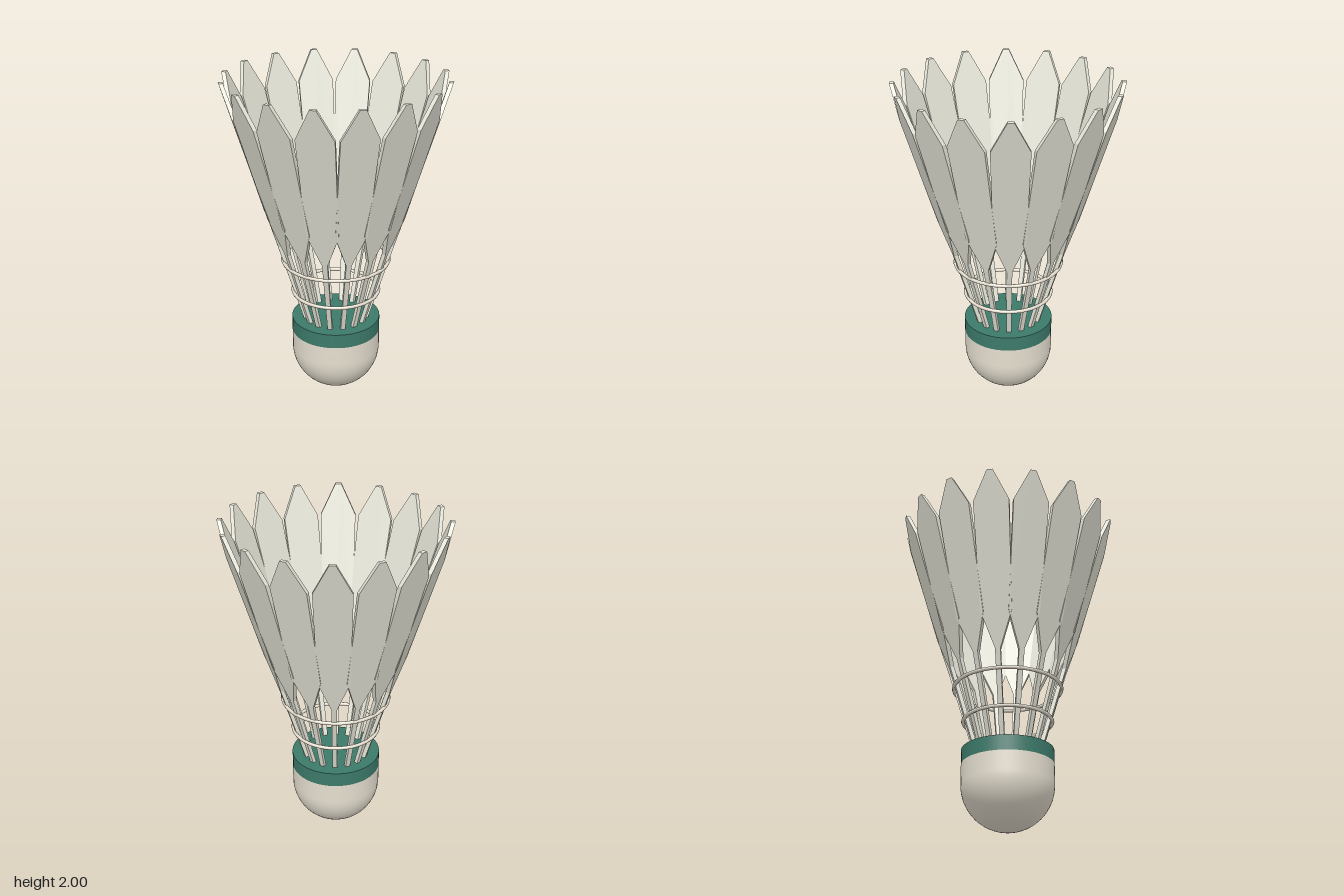
import * as THREE from 'three';

const FEATHERS = 16;

function material(name, color) {
  const m = new THREE.MeshStandardMaterial({ color });
  m.name = name;
  return m;
}

function lathe(points, mat, name) {
  const profile = points.map(([r, y]) => new THREE.Vector2(r, y));
  const mesh = new THREE.Mesh(new THREE.LatheGeometry(profile, 48), mat);
  mesh.name = name;
  return mesh;
}

// Feather: flat vane and quill outline, sheared outwards as it rises
function featherGeometry() {
  const half = [[0.014, 0.46], [0.016, 0.98], [0.093, 1.19], [0.107, 1.82], [0.018, 2]];
  const outline = [...half, ...half.map(([x, y]) => [-x, y]).reverse()];
  const shape = new THREE.Shape(outline.map(([x, y]) => new THREE.Vector2(x, y)));
  const geo = new THREE.ExtrudeGeometry(shape, { depth: 0.025, bevelEnabled: false });
  const p = geo.attributes.position;
  for (let i = 0; i < p.count; i++) {
    p.setZ(i, p.getZ(i) + 0.18 + 0.302 * (p.getY(i) - 0.48));
  }
  geo.computeVertexNormals();
  return geo;
}

export function createModel() {
  const cork = material('cork', 0xe6dfd0);
  const green = material('green band', 0x3c7a6a);
  const white = material('feather white', 0xe6e5d8);
  const group = new THREE.Group();
  group.name = 'shuttlecock';

  // Rounded cork base
  const R = 0.272;
  const dome = [];
  for (let i = 0; i <= 16; i++) {
    const a = (i / 16) * Math.PI / 2;
    dome.push([R * Math.sin(a), R * (1 - Math.cos(a))]);
  }
  dome.push([R, 0.39]);
  group.add(lathe(dome, cork, 'corkBase'));

  // Green band with its flat top
  const band = new THREE.Mesh(new THREE.CylinderGeometry(R, R, 0.09, 48), green);
  band.position.y = 0.435;
  band.name = 'band';
  group.add(band);

  // Ring of feathers
  const feathers = new THREE.Group();
  feathers.name = 'feathers';
  const geo = featherGeometry();
  for (let i = 0; i < FEATHERS; i++) {
    const feather = new THREE.Mesh(geo, white);
    feather.rotation.y = (i / FEATHERS) * Math.PI * 2;
    feather.name = 'feather';
    feathers.add(feather);
  }
  group.add(feathers);

  // Two binding threads around the quills
  for (const [name, r, y] of [['lowerThread', 0.264, 0.66], ['upperThread', 0.323, 0.87]]) {
    const thread = new THREE.Mesh(new THREE.TorusGeometry(r, 0.011, 8, 48), cork);
    thread.rotation.x = Math.PI / 2;
    thread.position.y = y;
    thread.name = name;
    group.add(thread);
  }
  return group;
}
